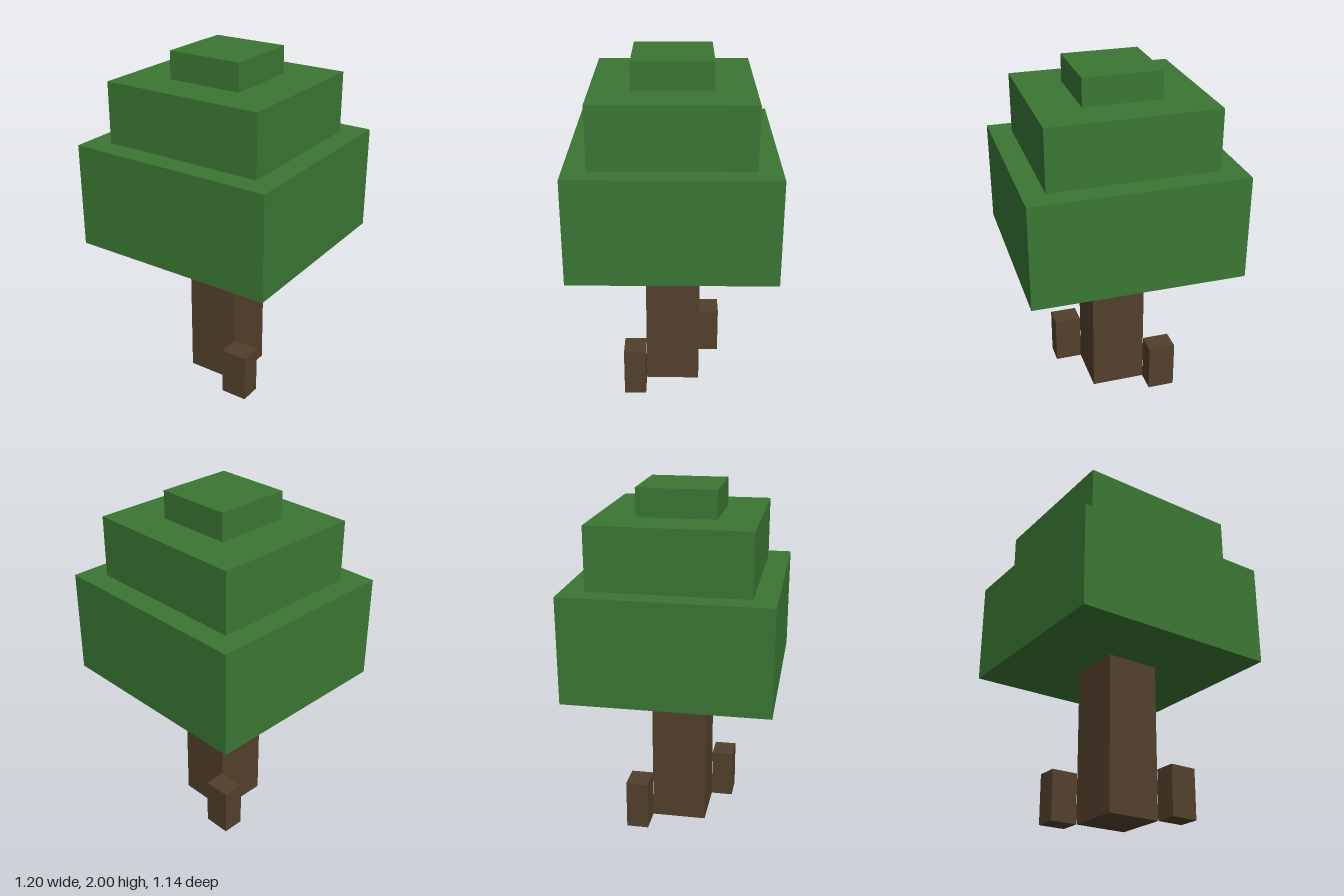
import * as THREE from 'three';

export function createModel() {
  const tree = new THREE.Group();
  tree.name = 'blockTree';

  const leaf = new THREE.MeshStandardMaterial({ color: 0x3b7734 });
  leaf.name = 'leafGreen';
  const bark = new THREE.MeshStandardMaterial({ color: 0x53402c });
  bark.name = 'barkBrown';

  // Box given by its size, its base height and its centre on the ground plane
  const addBlock = (name, material, [w, h, d], y, x = 0, z = 0) => {
    const mesh = new THREE.Mesh(new THREE.BoxGeometry(w, h, d), material);
    mesh.name = name;
    mesh.position.set(x, y + h / 2, z);
    tree.add(mesh);
  };

  // Trunk
  addBlock('trunk', bark, [0.315, 0.895, 0.315], 0);

  // Roots touching two opposite corners of the trunk
  for (const side of [1, -1]) {
    addBlock(side > 0 ? 'frontRoot' : 'backRoot', bark, [0.158, 0.285, 0.127], 0, side * 0.237, side * 0.222);
  }

  // Stepped canopy
  addBlock('lowerCanopy', leaf, [1.204, 0.598, 1.14], 0.895);
  addBlock('middleCanopy', leaf, [0.951, 0.35, 0.886], 1.493);
  addBlock('topCanopy', leaf, [0.442, 0.157, 0.442], 1.843);

  return tree;
}
